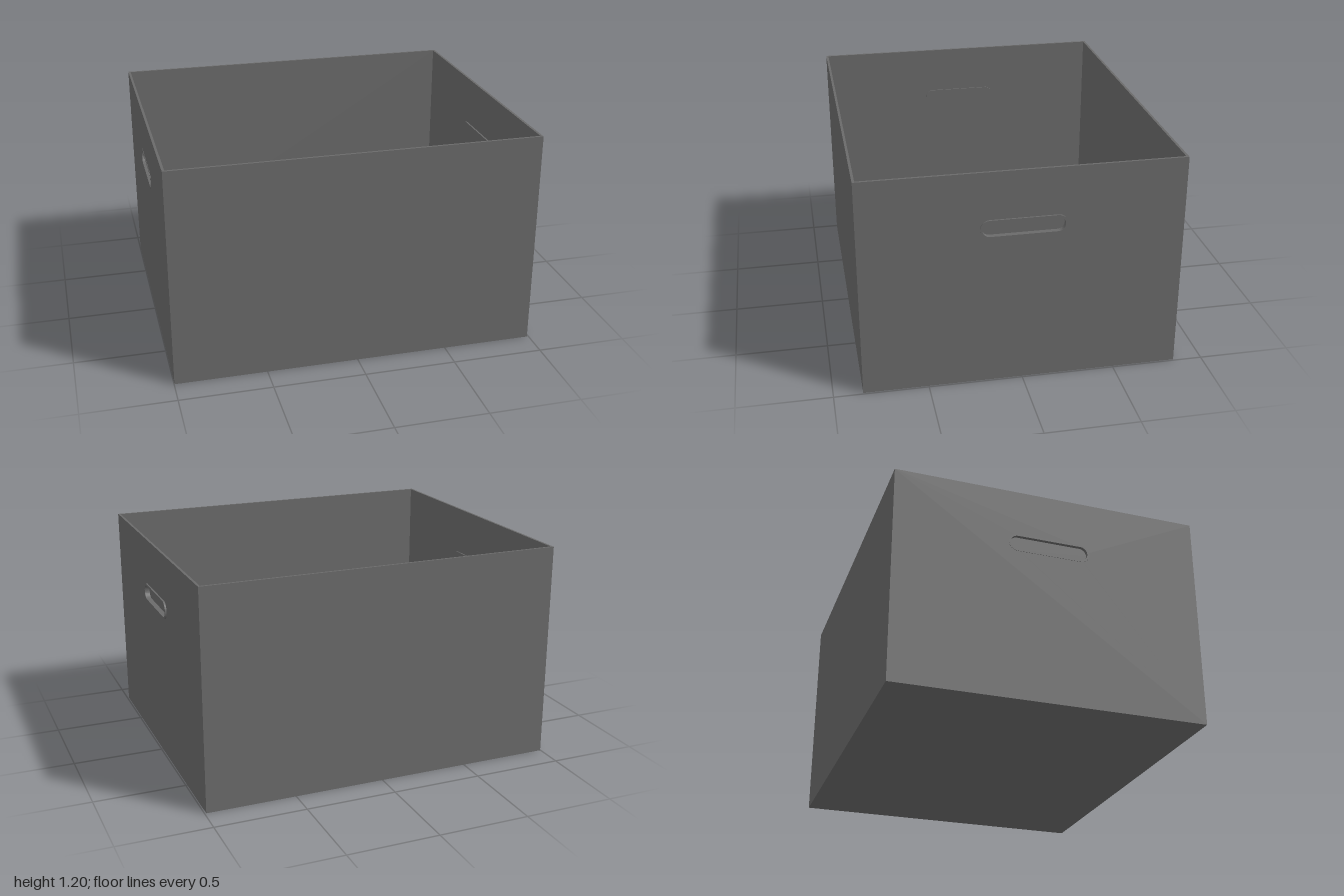
import * as THREE from 'three';

const H = 1.2, D = 1.69, T = 0.013;   // box height, depth and wall thickness
const X0 = -0.998, X1 = 0.991;        // outer faces of the end walls
const GRIP_Y = 0.89, GRIP_HALF = 0.175;

// Slot outline with rounded ends, centred on (0, y)
function slot(r, y = GRIP_Y, PathType = THREE.Shape) {
  const p = new PathType();
  p.moveTo(-GRIP_HALF, y - r);
  p.lineTo(GRIP_HALF, y - r);
  p.absarc(GRIP_HALF, y, r, -Math.PI / 2, Math.PI / 2, false);
  p.lineTo(-GRIP_HALF, y + r);
  p.absarc(-GRIP_HALF, y, r, Math.PI / 2, Math.PI * 1.5, false);
  return p;
}

export function createModel() {
  const group = new THREE.Group();
  group.name = 'storageBox';
  const grey = new THREE.MeshStandardMaterial({ color: 0x6a6a6a });
  grey.name = 'grey';

  const box = (name, w, h, d, x, y, z) => {
    const m = new THREE.Mesh(new THREE.BoxGeometry(w, h, d), grey);
    m.name = name;
    m.position.set(x, y, z);
    group.add(m);
  };

  // Extrudes a z-y outline along x between two positions
  const slab = (name, shape, xa, xb, hole) => {
    if (hole) shape.holes.push(slot(hole, GRIP_Y, THREE.Path));
    const lo = Math.min(xa, xb);
    const g = new THREE.ExtrudeGeometry(shape, {
      depth: Math.abs(xb - xa), bevelEnabled: false, curveSegments: 8,
    });
    g.rotateY(Math.PI / 2);
    g.translate(lo, 0, 0);
    const m = new THREE.Mesh(g, grey);
    m.name = name;
    group.add(m);
  };

  // Floor, front and back
  const cx = (X0 + X1) / 2, w = X1 - X0;
  box('floor', w - 2 * T, T, D - 2 * T, cx, T / 2, 0);
  box('frontWall', w - 2 * T, H, T, cx, H / 2, D / 2 - T / 2);
  box('backWall', w - 2 * T, H, T, cx, H / 2, -D / 2 + T / 2);

  // End walls with recessed grips: a raised rim, a sleeve and a closed pan
  const ends = [
    { side: 'left', face: X1, dir: 1, rim: 1.0, pan: 0.969 },
    { side: 'right', face: X0, dir: -1, rim: -1.0, pan: -0.978 },
  ];
  for (const { side, face, dir, rim, pan } of ends) {
    const wall = new THREE.Shape([
      new THREE.Vector2(-D / 2, 0), new THREE.Vector2(D / 2, 0),
      new THREE.Vector2(D / 2, H), new THREE.Vector2(-D / 2, H),
    ]);
    slab(side + 'Wall', wall, face - dir * T, face, 0.039);
    slab(side + 'GripRim', slot(0.051), face, rim, 0.039);
    slab(side + 'GripSleeve', slot(0.041), pan, face - dir * T, 0.039);
    slab(side + 'GripPan', slot(0.039), pan, pan + dir * 0.003);
  }
  return group;
}
